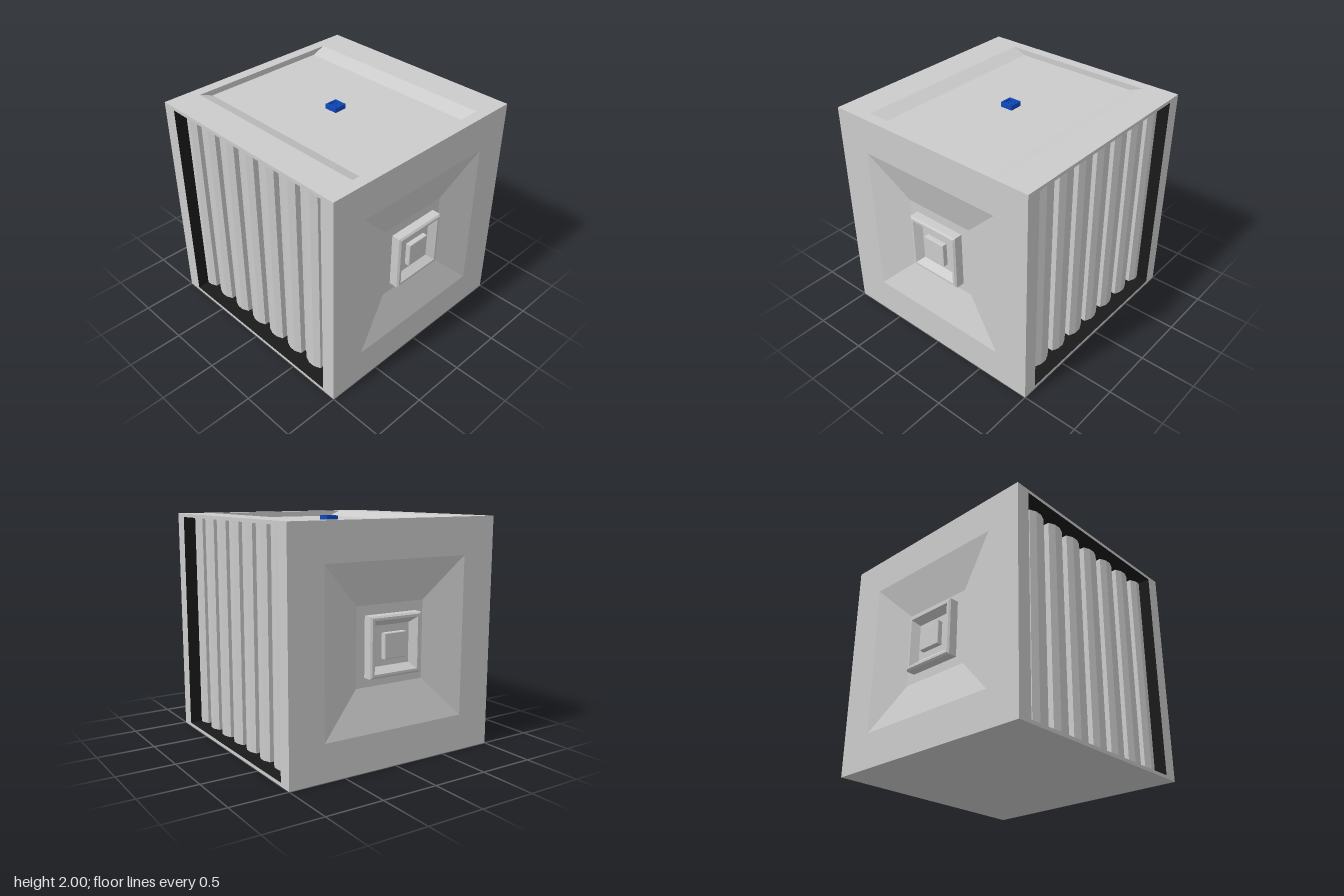
import * as THREE from 'three';

const grey = new THREE.MeshStandardMaterial({ color: 0xcccccc, flatShading: true });
const dark = new THREE.MeshStandardMaterial({ color: 0x1a1a1a, flatShading: true });
const blue = new THREE.MeshStandardMaterial({ color: 0x0f4abf, flatShading: true });

// Joins rectangular rings [halfWidth, halfHeight, z] with flat faces, facing +z
function rings(name, list, material, cap = true) {
  const pos = [];
  const corners = ([w, h, z]) => [[-w, -h, z], [w, -h, z], [w, h, z], [-w, h, z]];
  const quad = (a, b, c, d) => pos.push(...a, ...b, ...c, ...a, ...c, ...d);
  for (let i = 0; i < list.length - 1; i++) {
    const a = corners(list[i]), b = corners(list[i + 1]);
    for (let k = 0; k < 4; k++) {
      const n = (k + 1) % 4;
      quad(a[k], a[n], b[n], b[k]);
    }
  }
  if (cap) quad(...corners(list[list.length - 1]));
  const geo = new THREE.BufferGeometry();
  geo.setAttribute('position', new THREE.Float32BufferAttribute(pos, 3));
  geo.computeVertexNormals();
  const mesh = new THREE.Mesh(geo, material);
  mesh.name = name;
  return mesh;
}

// Row of three-sided ribs with narrow grooves between them
function ribs(limit) {
  const peak = -0.11, shoulder = -0.135, groove = -0.185, back = -0.22;
  const pts = [];
  for (let k = 0; k < 8; k++) {
    const c = -0.86 + 0.245 * k;
    pts.push([c - 0.09, groove], [c - 0.09, shoulder], [c - 0.03, peak],
      [c + 0.03, peak], [c + 0.09, shoulder], [c + 0.09, groove]);
  }
  const inside = pts.filter(([x]) => Math.abs(x) < limit);
  const outline = [[-limit, back], [-limit, peak], ...inside, [limit, peak], [limit, back]];
  const shape = new THREE.Shape(outline.map(([x, z]) => new THREE.Vector2(x, z)));
  const geo = new THREE.ExtrudeGeometry(shape, { depth: 1.94, bevelEnabled: false });
  geo.rotateX(Math.PI / 2).translate(0, 0.97, 0);
  const mesh = new THREE.Mesh(geo, grey);
  mesh.name = 'ribbedPanel';
  return mesh;
}

// Face with a framed opening, dark inner edges and ribs behind it
function ribbedFace(name) {
  const g = new THREE.Group();
  g.name = name;
  const w = 0.873, h = 0.97;
  g.add(
    rings('faceFrame', [[1, 1, 0], [w, h, 0]], grey, false),
    rings('openingLiner', [[w, h, 0], [w, h, -0.22]], dark, false),
    ribs(w));
  return g;
}

// Face with a pyramid-shaped recess and a square socket in its middle
function socketFace(name) {
  const g = new THREE.Group();
  g.name = name;
  const sq = (list) => list.map(([s, z]) => [s, s, z]);
  g.add(
    rings('recessedFace', sq([[1, 0], [0.685, 0], [0.33, -0.1]]), grey),
    rings('socket', sq([[0.25, -0.1], [0.25, -0.025], [0.235, -0.012], [0.215, -0.012], [0.165, -0.07]]), grey),
    rings('socketButton', sq([[0.105, -0.07], [0.105, -0.03], [0.1, -0.026]]), grey));
  return g;
}

// Top with a shallow tray and a small blue connector
function topFace() {
  const g = new THREE.Group();
  g.name = 'top';
  const sq = (list) => list.map(([s, z]) => [s, s, z]);
  g.add(
    rings('tray', [[1, 1, 0], [0.9, 0.715, 0], [0.9, 0.59, -0.05]], grey),
    rings('connector', sq([[0.058, -0.05], [0.058, -0.008], [0.044, -0.008], [0.044, -0.025]]), blue));
  for (const x of [-1, 1]) for (const y of [-1, 1]) {
    const stud = rings('connectorStud', sq([[0.009, -0.025], [0.009, -0.012]]), blue);
    stud.position.set(x * 0.019, y * 0.019, 0);
    g.add(stud);
  }
  return g;
}

export function createModel() {
  const model = new THREE.Group();
  model.name = 'cube';

  // Four upright faces, opposite ones alike
  const faces = [ribbedFace('front'), socketFace('left'), ribbedFace('back'), socketFace('right')];
  faces.forEach((face, i) => {
    const angle = i * Math.PI / 2;
    face.rotation.y = angle;
    face.position.set(Math.sin(angle), 1, Math.cos(angle));
    model.add(face);
  });

  const top = topFace();
  top.rotation.x = -Math.PI / 2;
  top.position.y = 2;
  model.add(top);

  const bottom = rings('bottom', [[1, 1, 0]], grey);
  bottom.rotation.x = Math.PI / 2;
  model.add(bottom);
  return model;
}
